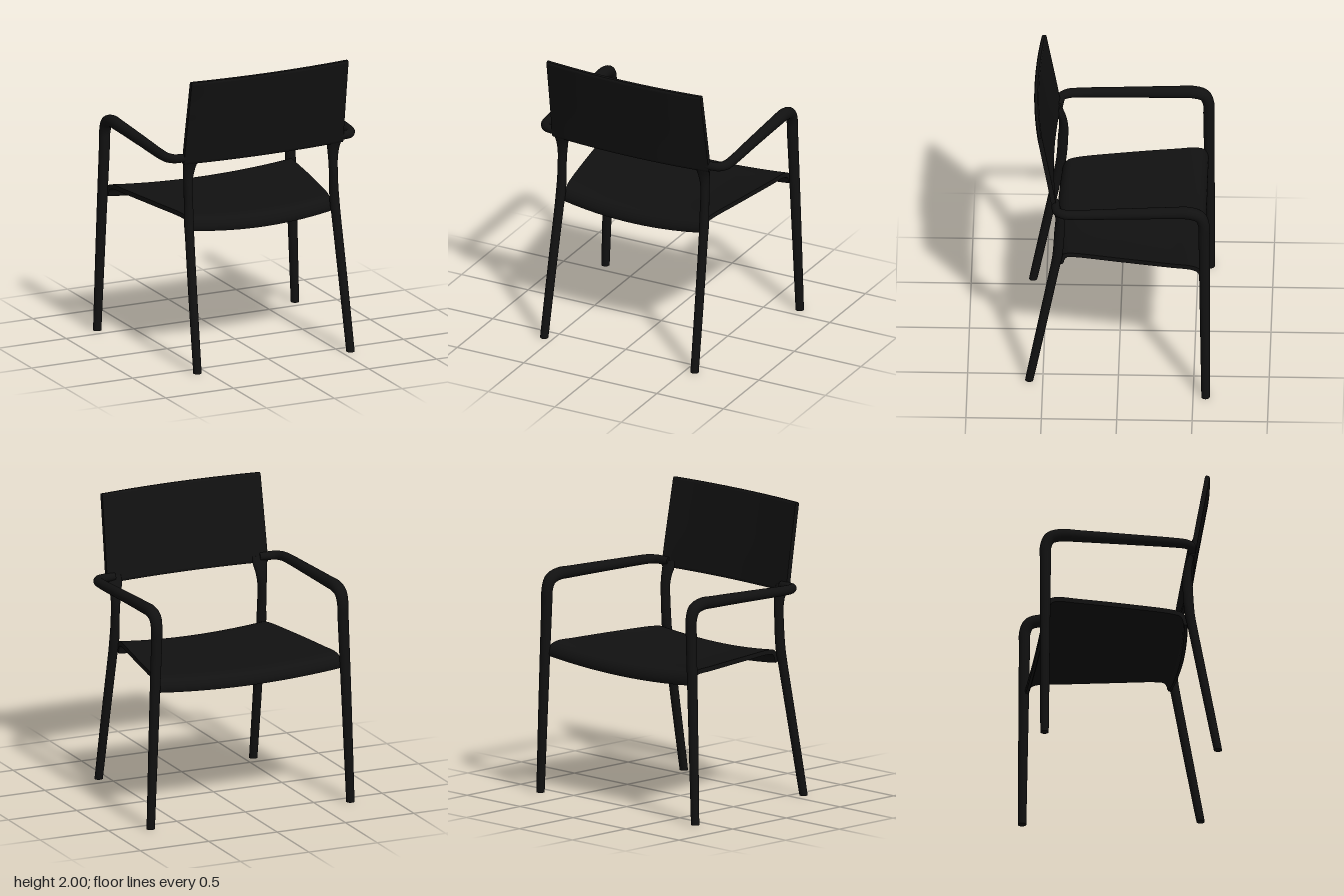
import * as THREE from 'three';
import { toCreasedNormals } from 'three/addons/utils/BufferGeometryUtils.js';

const material = new THREE.MeshStandardMaterial({ color: 0x111111 });

// Skin a list of closed rings (counter-clockwise about the path) and cap both ends.
function loft(rings, crease) {
  const n = rings[0].length, pos = [], index = [];
  rings.forEach(ring => ring.forEach(p => pos.push(p.x, p.y, p.z)));
  for (let i = 0; i < rings.length - 1; i++) {
    for (let j = 0; j < n; j++) {
      const a = i * n + j, b = i * n + (j + 1) % n;
      index.push(a, b, a + n, b, b + n, a + n);
    }
  }
  const cap = (ring, flip) => {
    const start = pos.length / 3;
    const c = ring.reduce((s, p) => s.add(p), new THREE.Vector3()).divideScalar(n);
    [...ring, c].forEach(p => pos.push(p.x, p.y, p.z));
    for (let j = 0; j < n; j++) {
      const a = start + j, b = start + (j + 1) % n;
      index.push(...(flip ? [b, a, start + n] : [a, b, start + n]));
    }
  };
  // thin slab profiles are bent, so zip their two faces together instead of fanning
  const zip = (ring, flip) => {
    const start = pos.length / 3;
    ring.forEach(p => pos.push(p.x, p.y, p.z));
    for (let j = 0; j < n / 2 - 1; j++) {
      const a = start + j, b = a + 1, d = start + n - 1 - j, c = d - 1;
      index.push(...(flip ? [a, d, b, b, d, c] : [a, b, d, b, c, d]));
    }
  };
  const close = crease ? zip : cap;
  close(rings[0], true);
  close(rings[rings.length - 1], false);
  const g = new THREE.BufferGeometry();
  g.setAttribute('position', new THREE.Float32BufferAttribute(pos, 3));
  g.setIndex(index);
  if (crease) return toCreasedNormals(g, crease);
  g.computeVertexNormals();
  return g;
}

// Round bar through stations [x, y, z, radius, flare in x]; side mirrors it.
function bar(stations, side) {
  const path = new THREE.CatmullRomCurve3(stations.map(s => new THREE.Vector3(s[0] * side, s[1], s[2])));
  const size = new THREE.CatmullRomCurve3(stations.map((s, i) => new THREE.Vector3(s[3], s[4] ?? 1, i)), false, 'catmullrom');
  const steps = (stations.length - 1) * 6, sides = 20, rings = [];
  const normal = new THREE.Vector3(0, 0, 1);
  for (let i = 0; i <= steps; i++) {
    const p = path.getPoint(i / steps), t = path.getTangent(i / steps), s = size.getPoint(i / steps);
    normal.addScaledVector(t, -normal.dot(t)).normalize();
    const binormal = t.clone().cross(normal);
    rings.push(Array.from({ length: sides }, (_, j) => {
      const a = j / sides * Math.PI * 2;
      const o = normal.clone().multiplyScalar(Math.cos(a)).addScaledVector(binormal, Math.sin(a)).multiplyScalar(s.x);
      o.x *= s.y;
      const v = p.clone().add(o);
      if (i === 0) v.y = 0; // flat foot
      return v;
    }));
  }
  return loft(rings);
}

// Bent slab: a [z, y] centre line given thickness, swept across u = -1..1 and shaped by place(u, z, y).
function slab(line, half, place) {
  const curve = new THREE.CatmullRomCurve3(line.map(([z, y]) => new THREE.Vector3(0, y, z)));
  const count = 60, top = [], bottom = [];
  for (let i = 0; i <= count; i++) {
    const t = i / count, p = curve.getPointAt(t), d = curve.getTangentAt(t);
    const h = half * Math.min(1, 0.55 + 30 * Math.min(t, 1 - t));
    top.push([p.z - d.y * h, p.y + d.z * h]);
    bottom.unshift([p.z + d.y * h, p.y - d.z * h]);
  }
  const outline = [...top, ...bottom], rings = [];
  for (let i = 0; i <= 32; i++) {
    const u = i / 16 - 1;
    rings.push(outline.map(([z, y]) => place(u, z, y)));
  }
  return loft(rings, 0.7);
}

export function createModel() {
  const chair = new THREE.Group();
  chair.name = 'armchair';
  const add = (name, geometry) => {
    const mesh = new THREE.Mesh(geometry, material);
    mesh.name = name;
    chair.add(mesh);
  };

  // Front leg bending into the armrest, which turns inward at the back
  const frontLegAndArm = [
    [0.73, 0, -0.583, 0.028], [0.712, 0.5, -0.579, 0.032], [0.695, 0.95, -0.575, 0.035],
    [0.682, 1.28, -0.572, 0.037], [0.68, 1.38, -0.57, 0.038], [0.678, 1.445, -0.542, 0.041],
    [0.676, 1.471, -0.47, 0.042], [0.676, 1.47, -0.35, 0.04], [0.68, 1.459, 0, 0.036],
    [0.683, 1.449, 0.28, 0.033], [0.675, 1.447, 0.36, 0.032], [0.645, 1.446, 0.402, 0.03],
    [0.6, 1.446, 0.413, 0.029], [0.53, 1.446, 0.418, 0.026]
  ];
  // Rear leg leaning to the seat, then a post that flares flat under the backrest
  const rearLeg = [
    [0.565, 0, 0.59, 0.028], [0.553, 0.5, 0.497, 0.03], [0.541, 0.9, 0.423, 0.031],
    [0.538, 1.0, 0.405, 0.033], [0.536, 1.1, 0.396, 0.034, 0.9], [0.536, 1.2, 0.391, 0.034, 0.85],
    [0.535, 1.29, 0.388, 0.03, 1.1], [0.532, 1.36, 0.397, 0.025, 1.7], [0.53, 1.41, 0.412, 0.02, 2.6],
    [0.53, 1.45, 0.424, 0.016, 3.1]
  ];
  for (const [name, side] of [['left', 1], ['right', -1]]) {
    add(name + 'FrontLegAndArmrest', bar(frontLegAndArm, side));
    add(name + 'RearLeg', bar(rearLeg, side));
  }

  // Seat: tapered to the rear, dished in the middle, lips rolled down front and back
  const seatLine = [
    [-0.557, 0.93], [-0.552, 0.965], [-0.535, 0.993], [-0.49, 1.009], [-0.35, 1.011],
    [0, 1.013], [0.3, 1.009], [0.35, 0.998], [0.374, 0.965], [0.38, 0.925]
  ];
  add('seat', slab(seatLine, 0.016, (u, z, y) => {
    const bow = 1 - u * u, back = Math.max(0, z) / 0.4;
    const width = 0.588 - 0.165 * z - 0.03 * z * z;
    return new THREE.Vector3(u * width, y - 0.035 * bow, z + 0.025 * bow * back);
  }));

  // Backrest: leaning panel bowed to the rear
  const backLine = [[0.418, 1.405], [0.45, 1.6], [0.485, 1.8], [0.52, 1.998]];
  add('backrest', slab(backLine, 0.016, (u, z, y) => {
    const bow = 1 - u * u;
    return new THREE.Vector3(u * (0.588 - 0.01 * (y - 1.4) / 0.6), y, z + 0.035 * bow);
  }));

  return chair;
}
